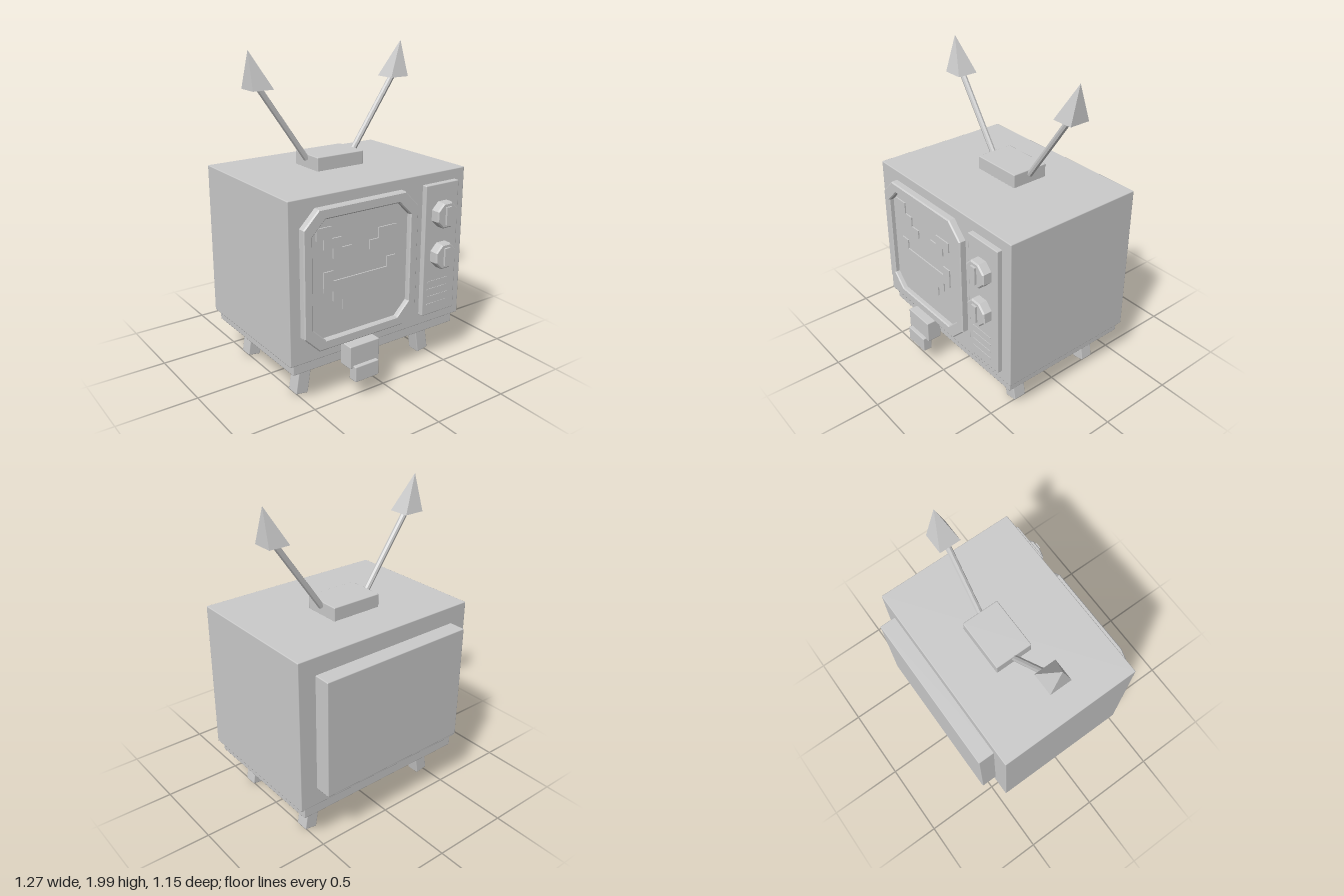
import * as THREE from 'three';
import { RoundedBoxGeometry } from 'three/addons/geometries/RoundedBoxGeometry.js';

export function createModel() {
  const model = new THREE.Group();
  model.name = 'television';
  const grey = new THREE.MeshStandardMaterial({ color: 0xcccccc });
  grey.name = 'plain grey';

  const add = (name, geometry, parent = model) => {
    const mesh = new THREE.Mesh(geometry, grey);
    mesh.name = name;
    parent.add(mesh);
    return mesh;
  };

  // Softly bevelled box given by its limits on each axis
  const box = (name, [x0, x1], [y0, y1], [z0, z1], bevel = 0.006) => {
    const size = [x1 - x0, y1 - y0, z1 - z0];
    const geometry = bevel ? new RoundedBoxGeometry(...size, 1, bevel) : new THREE.BoxGeometry(...size);
    const mesh = add(name, geometry);
    mesh.position.set((x0 + x1) / 2, (y0 + y1) / 2, (z0 + z1) / 2);
    return mesh;
  };

  // Rectangle with cut corners
  const octagon = (x0, x1, y0, y1, c) => [
    [x0 + c, y0], [x1 - c, y0], [x1, y0 + c], [x1, y1 - c],
    [x1 - c, y1], [x0 + c, y1], [x0, y1 - c], [x0, y0 + c],
  ].map(([x, y]) => new THREE.Vector2(x, y));

  // Extrusion from z0 to z1 with an optional bevel kept inside the outline
  const extrude = (shape, z0, z1, bevel = 0) => new THREE.ExtrudeGeometry(shape, {
    depth: z1 - z0 - 2 * bevel, bevelEnabled: bevel > 0, bevelSegments: 1,
    bevelSize: bevel, bevelThickness: bevel, bevelOffset: -bevel,
  }).translate(0, 0, z0 + bevel);

  // Cabinet
  box('cabinet', [-0.635, 0.635], [0.3, 1.275], [-0.472, 0.462]);
  box('cabinetBase', [-0.605, 0.605], [0.23, 0.305], [-0.46, 0.44]);
  box('backCover', [-0.52, 0.52], [0.415, 1.165], [-0.576, -0.46]);

  // Screen frame with the recessed screen inside it
  const frame = new THREE.Shape(octagon(-0.565, 0.237, 0.37, 1.21, 0.1));
  frame.holes.push(new THREE.Path(octagon(-0.507, 0.177, 0.43, 1.148, 0.085)));
  add('screenFrame', extrude(frame, 0.455, 0.506, 0.007));
  add('screen', extrude(new THREE.Shape(octagon(-0.515, 0.185, 0.422, 1.156, 0.085)), 0.456, 0.474));

  // Stepped pixel face, in cells counted from the mouth's upper left corner
  const cell = 0.0635;
  const pixels = (name, points) => {
    const shape = new THREE.Shape(points.map(([c, r]) => new THREE.Vector2(-0.42 + c * cell, 0.83 - r * cell)));
    add(name, extrude(shape, 0.473, 0.482));
  };
  pixels('rightBrow', [[-0.75, -4.15], [0.85, -4.15], [0.85, -3], [1.9, -3], [1.9, -2], [3, -2],
    [3, -1.1], [1, -1.1], [1, -2.1], [0, -2.1], [0, -3.05], [-0.75, -3.05]]);
  pixels('leftBrow', [[6, -3], [8, -3], [8, -2], [7, -2], [7, -1.1], [5, -1.1], [5, -2], [6, -2]]);
  pixels('mouth', [[0, 0], [1, 0], [1, 1], [7, 1], [7, 0], [8, 0], [8, 1.95], [7, 1.95],
    [7, 2.95], [6, 2.95], [6, 3.95], [2, 3.95], [2, 2.95], [1, 2.95], [1, 1.95], [0, 1.95]]);

  // Control panel, dials and speaker slats
  box('controlPanel', [0.302, 0.562], [0.37, 1.21], [0.45, 0.495]);
  for (const y of [1.022, 0.76]) {
    const dial = new THREE.Shape(octagon(0.352, 0.51, y - 0.079, y + 0.079, 0.046));
    add('dial', extrude(dial, 0.485, 0.552, 0.008));
    box('dialGrip', [0.411, 0.451], [y - 0.055, y + 0.055], [0.54, 0.565], 0);
  }
  for (let i = 0; i < 4; i++) {
    const y = 0.44 + i * 0.05;
    box('speakerSlat', [0.335, 0.5], [y - 0.004, y + 0.004], [0.49, 0.498], 0);
  }

  // Tongue hanging over the lower edge
  box('tongue', [-0.288, -0.077], [0.22, 0.362], [0.455, 0.553]);
  box('tongueTip', [-0.267, -0.098], [0.14, 0.238], [0.515, 0.578]);

  // Four splayed legs
  for (const side of [-1, 1]) for (const z of [0.28, -0.3]) {
    const leg = add('leg', new RoundedBoxGeometry(0.084, 0.26, 0.086, 1, 0.006));
    leg.position.set(side * 0.454, 0.141, z);
    leg.rotation.z = side * 0.16;
  }

  // Antenna block, slanted rods and leaning arrow tips
  box('antennaBlock', [-0.17, 0.17], [1.27, 1.36], [-0.195, 0.052]);
  for (const side of [-1, 1]) {
    const start = new THREE.Vector3(side * 0.17, 1.33, -0.07);
    const end = new THREE.Vector3(side * 0.49, 1.79, -0.07);
    const way = end.clone().sub(start);
    const rod = add('antennaRod', new THREE.CylinderGeometry(0.019, 0.019, way.length(), 8).toNonIndexed());
    rod.geometry.computeVertexNormals();
    rod.position.copy(start).lerp(end, 0.5);
    rod.quaternion.setFromUnitVectors(new THREE.Vector3(0, 1, 0), way.normalize());

    // Square pyramid sheared outwards
    const tip = new THREE.ConeGeometry(0.0675 * Math.SQRT2, 0.222, 4).rotateY(Math.PI / 4).toNonIndexed();
    const p = tip.attributes.position;
    for (let i = 0; i < p.count; i++) {
      if (p.getY(i) > 0) p.setX(i, p.getX(i) + side * 0.056);
    }
    tip.computeVertexNormals();
    add('antennaTip', tip).position.set(side * 0.491, 1.889, -0.07);
  }
  return model;
}
